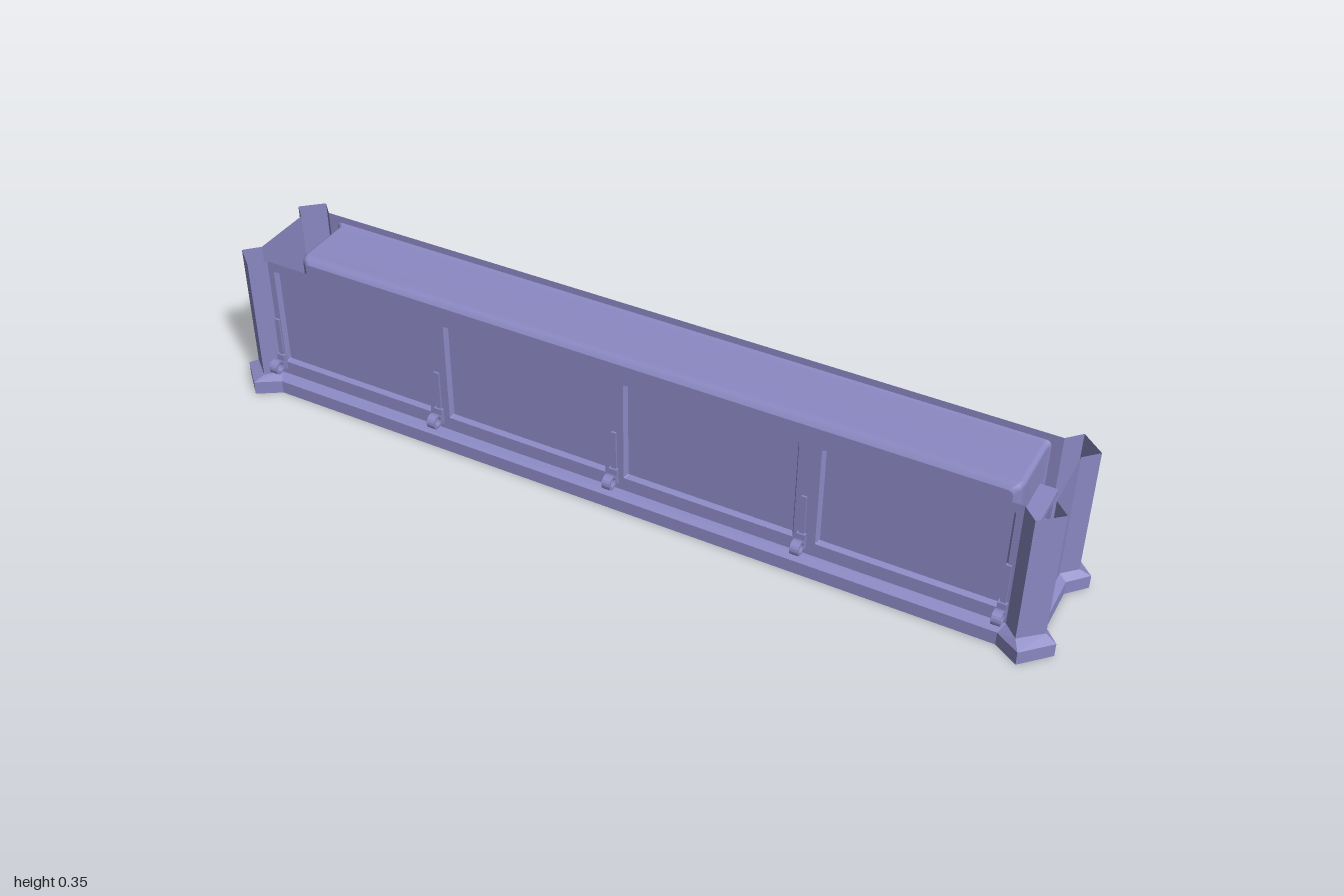
import * as THREE from 'three';

const material = new THREE.MeshStandardMaterial({ color: 0x8a88c2, side: THREE.DoubleSide });
const TOP = 0.355, WALL_Z = 0.118, WALL_X = 0.895;

function add(group, name, geometry, x = 0, y = 0, z = 0) {
  const mesh = new THREE.Mesh(geometry, material);
  mesh.name = name;
  mesh.position.set(x, y, z);
  group.add(mesh);
  return mesh;
}

// Joins successive loops of [x, y, z] points with quads
function skin(loops, closed, flat = true) {
  const n = loops[0].length, index = [];
  for (let i = 0; i + 1 < loops.length; i++) {
    for (let j = 0; j < (closed ? n : n - 1); j++) {
      const k = (j + 1) % n;
      const a = i * n + j, b = i * n + k, c = a + n, d = b + n;
      index.push(a, b, d, a, d, c);
    }
  }
  let g = new THREE.BufferGeometry();
  g.setAttribute('position', new THREE.Float32BufferAttribute(loops.flat(2), 3));
  g.setIndex(index);
  if (flat) g = g.toNonIndexed();
  g.computeVertexNormals();
  return g;
}

// Rounded rectangle as points, counter-clockwise
function roundedRect(x0, y0, x1, y1, r) {
  const pts = [];
  const corners = [[x1 - r, y1 - r], [x0 + r, y1 - r], [x0 + r, y0 + r], [x1 - r, y0 + r]];
  corners.forEach(([cx, cy], q) => {
    for (let i = 0; i <= 4; i++) {
      const a = (q + i / 4) * Math.PI / 2;
      pts.push(new THREE.Vector2(cx + r * Math.cos(a), cy + r * Math.sin(a)));
    }
  });
  return pts;
}

// Flat wall with openings
function wall(holes) {
  const s = new THREE.Shape();
  s.moveTo(-WALL_X, 0.04).lineTo(WALL_X, 0.04).lineTo(WALL_X, TOP).lineTo(-WALL_X, TOP).closePath();
  holes.forEach(h => s.holes.push(new THREE.Path(h)));
  return new THREE.ShapeGeometry(s);
}

// Open tray set into an opening: steps are [inset, z], the last one is closed
function tray(group, name, rect, r, steps, flat) {
  const [x0, y0, x1, y1] = rect;
  const at = i => roundedRect(x0 + i, y0 + i, x1 - i, y1 - i, r);
  add(group, name + 'Sides', skin(steps.map(([i, z]) => at(i).map(p => [p.x, p.y, z])), true, flat));
  const [inset, z] = steps[steps.length - 1];
  add(group, name + 'Panel', new THREE.ShapeGeometry(new THREE.Shape(at(inset))), 0, 0, z);
}

// Mirrors a quarter outline of [x, z] into the full closed outline
function outline(quarter) {
  const rev = [...quarter].reverse();
  return [
    ...quarter,
    ...rev.map(([x, z]) => [x, -z]),
    ...quarter.map(([x, z]) => [-x, -z]),
    ...rev.map(([x, z]) => [-x, z]),
  ];
}

export function createModel() {
  const model = new THREE.Group();
  model.name = 'counter';
  const wallQuarter = [[WALL_X, WALL_Z], [0.926, 0.15], [0.975, 0.107], [0.943, 0.075]];
  const baseQuarter = [[0.885, 0.138], [0.94, 0.173], [1, 0.113], [0.96, 0.07]];
  const level = (quarter, y) => outline(quarter).map(([x, z]) => [x, y, z]);

  // Base moulding following the whole outline
  add(model, 'baseMoulding', skin([
    level(baseQuarter, 0), level(baseQuarter, 0.033), level(wallQuarter, 0.046),
  ], true));

  // End walls with their angled corner posts
  const right = [...wallQuarter, ...[...wallQuarter].reverse().map(([x, z]) => [x, -z])];
  for (const side of [1, -1]) {
    const ring = y => right.map(([x, z]) => [x * side, y, z]);
    add(model, side > 0 ? 'leftEnd' : 'rightEnd', skin([ring(0.046), ring(TOP)], false));
  }

  // Front wall with four recessed panels
  const panels = [[-0.88, -0.475], [-0.425, -0.022], [0.022, 0.425], [0.475, 0.88]]
    .map(([a, b]) => [a, 0.08, b, 0.332]);
  add(model, 'frontWall', wall(panels.map(p => roundedRect(...p, 0.002))), 0, 0, WALL_Z);
  panels.forEach(p => tray(model, 'frontRecess', p, 0.002, [[0, WALL_Z], [0.006, WALL_Z - 0.011]], true));

  // Back wall opening into a deep rounded niche
  const niche = [-0.872, 0.068, 0.872, 0.338];
  add(model, 'backWall', wall([roundedRect(...niche, 0.012)]), 0, 0, -WALL_Z);
  tray(model, 'niche', niche, 0.012, [
    [0, -WALL_Z], [0.006, -0.11], [0.006, 0.02], [0.01, 0.034], [0.022, 0.042],
  ], false);

  // Shelves in the niche
  for (const y of [0.232, 0.148]) {
    add(model, 'shelf', new THREE.BoxGeometry(1.81, 0.014, 0.15), 0, y, -0.025);
  }

  // Rail rings with their mounting strips
  const ringShape = new THREE.Shape().absarc(0, 0, 0.017, 0, Math.PI * 2);
  ringShape.holes.push(new THREE.Path().absarc(0, 0, 0.011, 0, Math.PI * 2));
  const ringGeometry = new THREE.ExtrudeGeometry(ringShape, { depth: 0.02, bevelEnabled: false, curveSegments: 8 });
  ringGeometry.translate(0, 0, -0.01).rotateY(Math.PI / 2);
  for (const x of [-0.888, -0.45, 0, 0.445, 0.883]) {
    const bracket = new THREE.Group();
    bracket.name = 'railBracket';
    bracket.position.x = x;
    add(bracket, 'ring', ringGeometry, 0, 0.079, 0.143);
    add(bracket, 'mount', new THREE.BoxGeometry(0.02, 0.04, 0.012), 0, 0.082, 0.121);
    add(bracket, 'strip', new THREE.BoxGeometry(0.012, 0.13, 0.008), 0, 0.135, 0.119);
    model.add(bracket);
  }
  return model;
}
